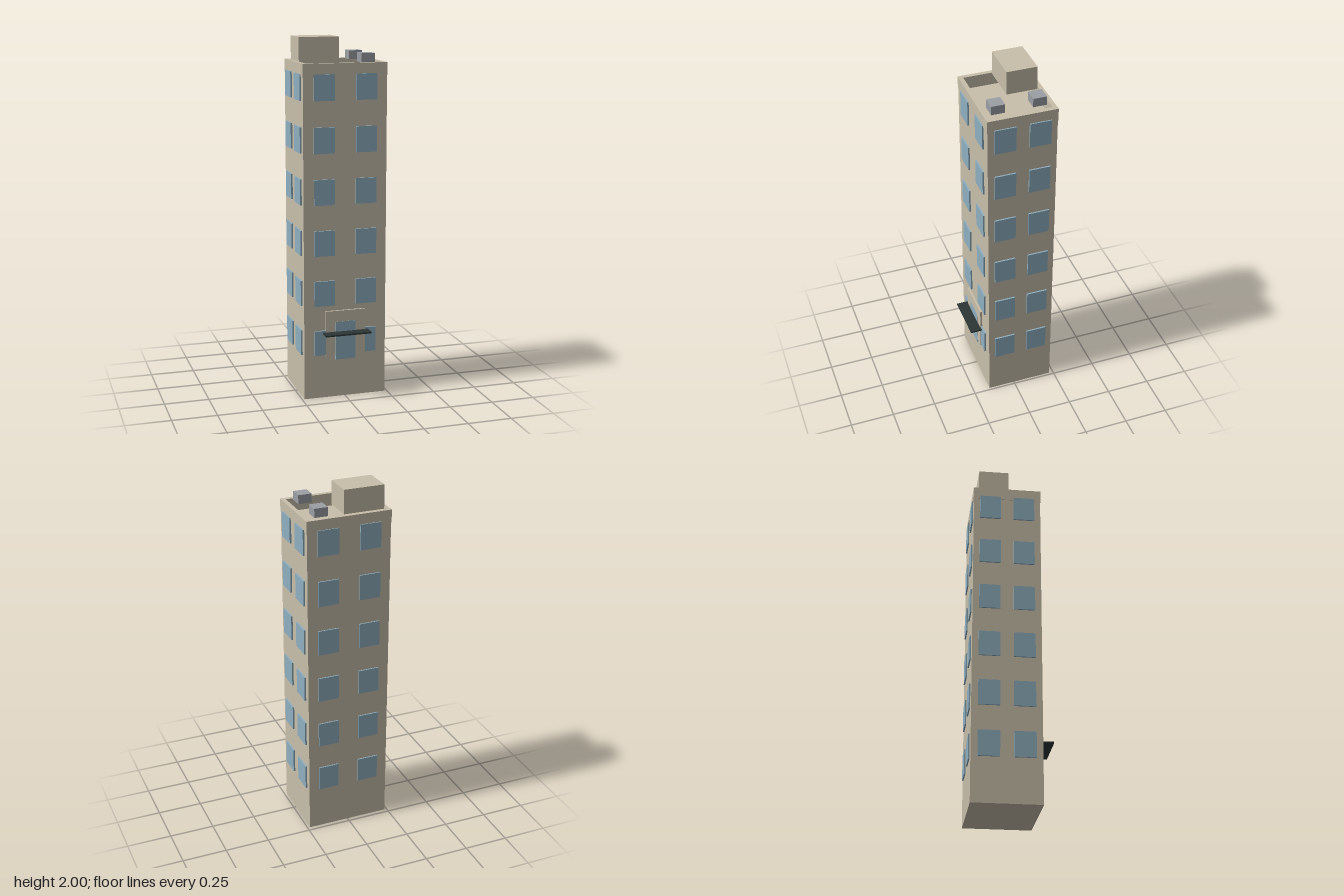
import * as THREE from 'three';

const mat = (name, color) => {
  const m = new THREE.MeshStandardMaterial({ color });
  m.name = name;
  return m;
};

export function createModel() {
  const stone = mat('stone', 0xc8bfaa);
  const glass = mat('glass', 0x8fafc0);
  const metal = mat('metal', 0x9b9fa4);
  const dark = mat('dark canopy', 0x2c3535);

  const model = new THREE.Group();
  model.name = 'tower';

  // Box given by its extents on each axis
  const box = (name, material, [x0, x1], [y0, y1], [z0, z1], parent = model) => {
    const mesh = new THREE.Mesh(new THREE.BoxGeometry(x1 - x0, y1 - y0, z1 - z0), material);
    mesh.position.set((x0 + x1) / 2, (y0 + y1) / 2, (z0 + z1) / 2);
    mesh.name = name;
    parent.add(mesh);
    return mesh;
  };

  const halfW = 0.238, halfD = 0.192, midZ = -0.0355;

  // Main block, its top is the sunken roof
  box('walls', stone, [-0.236, 0.236], [0, 1.8], [midZ - 0.19, midZ + 0.19]);

  // Parapet ring around the roof
  const rect = (path, w, d) => {
    path.moveTo(-w, -d);
    path.lineTo(w, -d);
    path.lineTo(w, d);
    path.lineTo(-w, d);
    path.closePath();
    return path;
  };
  const ring = rect(new THREE.Shape(), halfW, halfD);
  ring.holes.push(rect(new THREE.Path(), halfW - 0.024, halfD - 0.024));
  const ringGeo = new THREE.ExtrudeGeometry(ring, { depth: 0.07, bevelEnabled: false });
  ringGeo.rotateX(-Math.PI / 2);
  const parapet = new THREE.Mesh(ringGeo, stone);
  parapet.name = 'parapet';
  parapet.position.set(0, 1.8, midZ);
  model.add(parapet);

  // Two windows per storey on all four sides
  const windows = new THREE.Group();
  windows.name = 'windows';
  model.add(windows);
  for (let floor = 0; floor < 6; floor++) {
    const y = 0.25 + floor * 0.2842;
    const ys = [y, y + 0.142];
    for (const s of [-1, 1]) {
      const xs = [s * 0.119 - 0.059, s * 0.119 + 0.059];
      const cz = midZ + s * 0.0955;
      const zs = [cz - 0.059, cz + 0.059];
      box('frontWindow', glass, xs, ys, [0.154, 0.163], windows);
      box('backWindow', glass, xs, ys, [-0.233, -0.224], windows);
      box('leftWindow', glass, [0.236, 0.245], ys, zs, windows);
      box('rightWindow', glass, [-0.245, -0.236], ys, zs, windows);
    }
  }

  // Entrance with glass door and flat canopy
  const entrance = new THREE.Group();
  entrance.name = 'entrance';
  model.add(entrance);
  box('doorSurround', stone, [-0.114, 0.114], [0.243, 0.503], [0.15, 0.166], entrance);
  box('door', glass, [-0.058, 0.058], [0.22, 0.44], [0.15, 0.168], entrance);
  box('canopy', dark, [-0.132, 0.132], [0.375, 0.383], [0.155, 0.229], entrance);

  // Rooftop stair house and cooling units
  box('stairHouse', stone, [-0.209, 0.018], [1.868, 2], [-0.195, -0.025]);
  for (const z of [-0.186, 0.04]) {
    box('coolingUnit', metal, [0.103, 0.179], [1.868, 1.917], [z, z + 0.075]);
  }

  return model;
}
